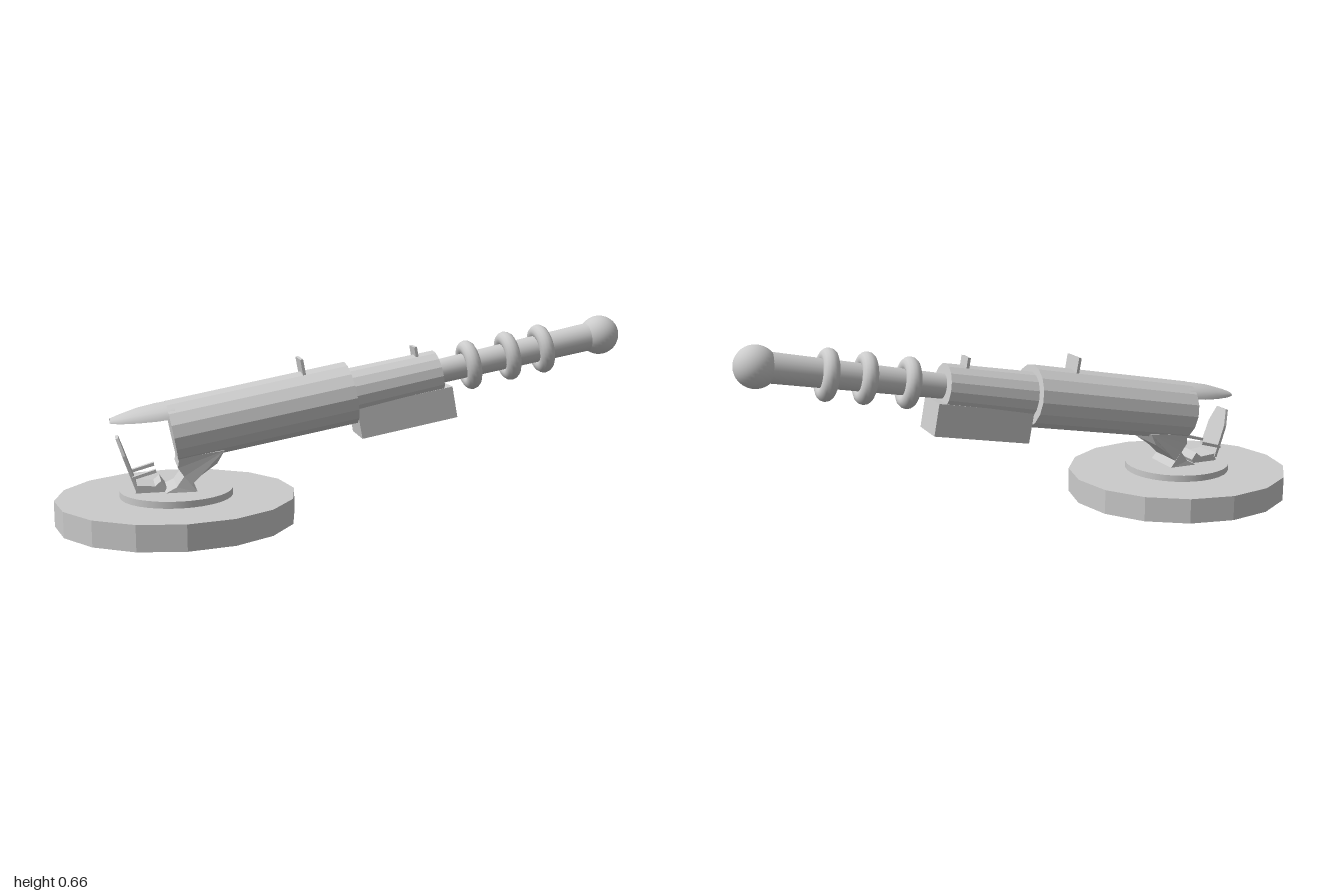
import * as THREE from 'three';

const smooth = new THREE.MeshStandardMaterial({ color: 0xcccccc });
const flat = new THREE.MeshStandardMaterial({ color: 0xcccccc, flatShading: true });
const thin = new THREE.MeshStandardMaterial({ color: 0xcccccc, side: THREE.DoubleSide });
const TILT = 0.18; // elevation of the gun

export function createModel() {
  const model = new THREE.Group();
  model.name = 'cannon';

  const add = (name, geometry, material, x = 0, y = 0, z = 0, tilt = 0) => {
    const mesh = new THREE.Mesh(geometry, material);
    mesh.name = name;
    mesh.position.set(x, y, z);
    mesh.rotation.z = tilt;
    model.add(mesh);
    return mesh;
  };

  // Tapered cylinder between two points of the xy plane, widened in z
  const tube = (name, [x0, y0], [x1, y1], r0, r1, sides, material, widen = 1) => {
    const length = Math.hypot(x1 - x0, y1 - y0);
    const mesh = add(name, new THREE.CylinderGeometry(r1, r0, length, sides), material,
      (x0 + x1) / 2, (y0 + y1) / 2, 0, Math.atan2(y1 - y0, x1 - x0) - Math.PI / 2);
    mesh.scale.z = widen;
    return mesh;
  };

  // Side profile extruded across the z width
  const slab = (name, points, width, z = 0) => {
    const shape = new THREE.Shape(points.map(([x, y]) => new THREE.Vector2(x, y)));
    const geometry = new THREE.ExtrudeGeometry(shape, { depth: width, bevelEnabled: false });
    return add(name, geometry, flat, 0, 0, z - width / 2);
  };

  // Base and turntable
  const base = add('base', new THREE.CylinderGeometry(0.404, 0.404, 0.087, 16), flat, -0.596, 0.0455);
  base.scale.z = 0.953;
  base.rotation.y = Math.PI / 2;
  base.scale.set(0.953, 1, 1);
  add('turntable', new THREE.CylinderGeometry(0.19, 0.19, 0.025, 32), smooth, -0.596, 0.0995);

  // Waisted pedestal under the barrel
  const pedestal = slab('pedestal', [
    [-0.64, 0.11], [-0.53, 0.11], [-0.55, 0.135], [-0.52, 0.165], [-0.465, 0.205],
    [-0.44, 0.25], [-0.59, 0.23], [-0.595, 0.195], [-0.575, 0.165], [-0.6, 0.13],
  ], 0.15);
  const pos = pedestal.geometry.attributes.position;
  for (let i = 0; i < pos.count; i++) {
    const waist = 0.9 + 20 * (pos.getY(i) - 0.155) ** 2;
    pos.setZ(i, 0.075 + (pos.getZ(i) - 0.075) * Math.min(waist, 1.07));
  }
  pedestal.geometry.computeVertexNormals();

  // Barrel sections
  tube('rearBarrel', [-0.608, 0.306], [0.005, 0.417], 0.107, 0.109, 16, flat, 1.14);
  tube('middleBarrel', [-0.03, 0.41], [0.318, 0.476], 0.085, 0.08, 16, flat, 1.07);
  tube('muzzleTube', [0.3, 0.475], [0.9, 0.591], 0.042, 0.05, 24, smooth);
  add('muzzleBall', new THREE.SphereGeometry(0.069, 32, 20), smooth, 0.927, 0.594);

  // Box slung beneath the middle barrel
  add('underBox', new THREE.BoxGeometry(0.345, 0.11, 0.143), flat, 0.194, 0.351, 0, TILT);

  // Coil rings
  for (const [x, y] of [[0.436, 0.5], [0.58, 0.528], [0.705, 0.55]]) {
    const ring = add('coilRing', new THREE.TorusGeometry(0.061, 0.026, 14, 32), smooth, x, y, 0, TILT);
    ring.rotation.order = 'ZYX';
    ring.rotation.y = Math.PI / 2;
  }

  // Sight plates on top
  add('rearSight', new THREE.BoxGeometry(0.01, 0.055, 0.092), flat, -0.166, 0.515, 0, TILT);
  add('frontSight', new THREE.BoxGeometry(0.01, 0.04, 0.062), flat, 0.235, 0.552, 0, TILT);

  // Arched hood over the gunner: x, half width, side height, top height
  const sections = [
    [-0.6, 0.092, 0.365, 0.412], [-0.66, 0.084, 0.357, 0.403], [-0.72, 0.07, 0.351, 0.39],
    [-0.78, 0.045, 0.346, 0.37], [-0.81, 0.028, 0.347, 0.358],
  ];
  const steps = 10, vertices = [], index = [];
  for (const [x, w, side, top] of sections) {
    for (let j = 0; j <= steps; j++) {
      const a = Math.PI * j / steps;
      vertices.push(x, side + (top - side) * Math.sin(a), w * Math.cos(a));
    }
  }
  for (let i = 0; i < sections.length - 1; i++) {
    for (let j = 0; j < steps; j++) {
      const a = i * (steps + 1) + j, b = a + steps + 1;
      index.push(a, a + 1, b, b, a + 1, b + 1);
    }
  }
  const hood = new THREE.BufferGeometry();
  hood.setAttribute('position', new THREE.Float32BufferAttribute(vertices, 3));
  hood.setIndex(index);
  hood.computeVertexNormals();
  add('hood', hood, thin);

  // Gunner's seat: back narrowing upward, cushion and armrests
  const backShape = new THREE.Shape();
  [[-0.055, 0], [0.055, 0], [0.052, 0.12], [0.03, 0.18], [-0.03, 0.18], [-0.052, 0.12]]
    .forEach(([x, y], i) => (i ? backShape.lineTo(x, y) : backShape.moveTo(x, y)));
  const back = new THREE.ExtrudeGeometry(backShape, { depth: 0.01, bevelEnabled: false });
  back.rotateY(Math.PI / 2);
  add('seatBack', back, flat, -0.735, 0.124, 0, 0.33);
  slab('seatCushion', [[-0.735, 0.11], [-0.64, 0.11], [-0.632, 0.125], [-0.65, 0.15], [-0.67, 0.133], [-0.73, 0.138]], 0.1);
  for (const s of [-1, 1]) {
    slab('armrest', [[-0.745, 0.16], [-0.665, 0.182], [-0.667, 0.193], [-0.745, 0.17]], 0.016, s * 0.055);
  }
  return model;
}
